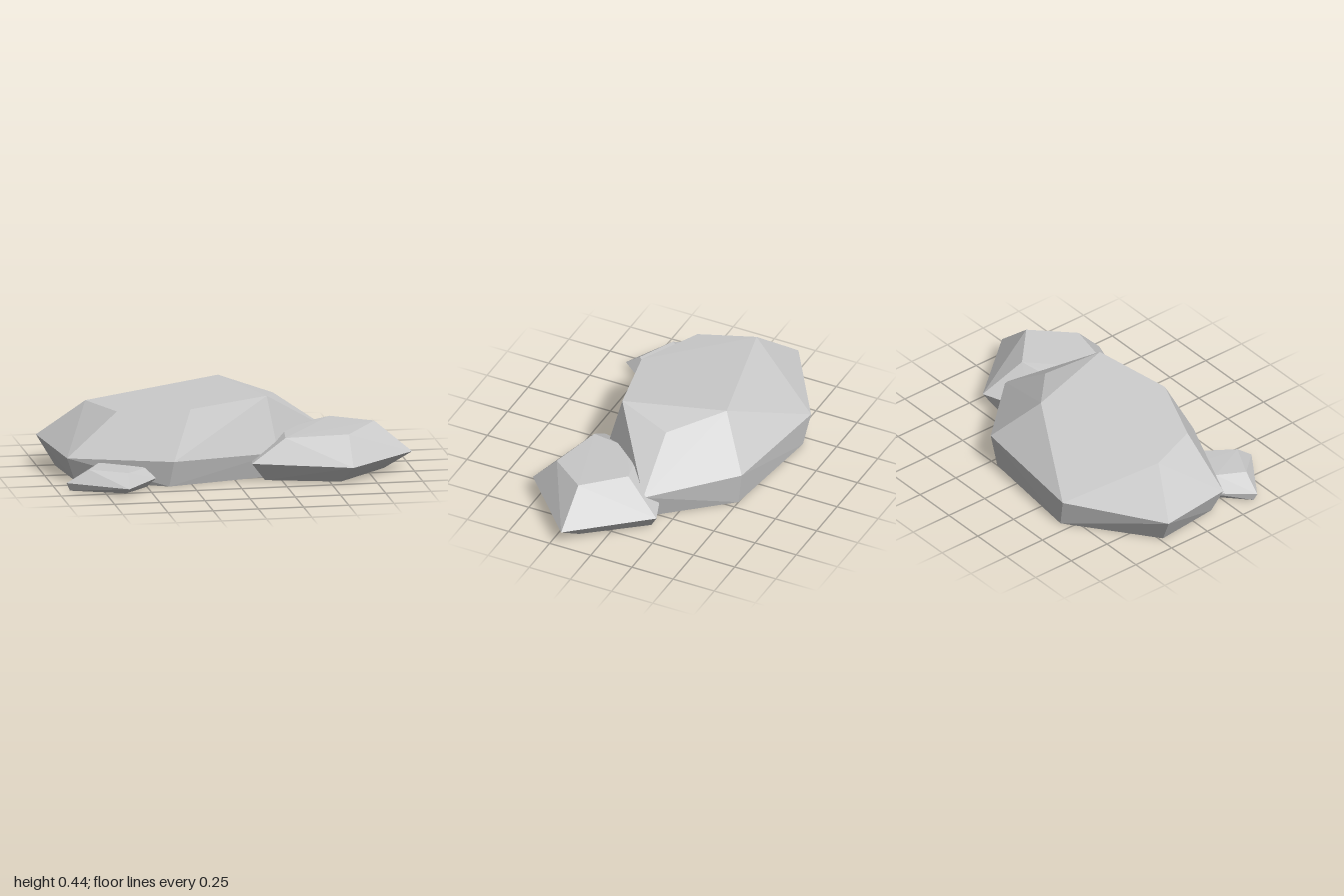
import * as THREE from 'three';
import { ConvexGeometry } from 'three/addons/geometries/ConvexGeometry.js';

// A faceted boulder: the hull around a base ring, a wider girdle ring and a top ring.
function boulder(name, material, { base, girdle, top }) {
  const points = [
    ...base.map(([x, z]) => new THREE.Vector3(x, 0, z)),
    ...[...girdle, ...top].map((p) => new THREE.Vector3(...p)),
  ];
  const mesh = new THREE.Mesh(new ConvexGeometry(points), material);
  mesh.name = name;
  return mesh;
}

export function createModel() {
  const group = new THREE.Group();
  group.name = 'rockCluster';
  const stone = new THREE.MeshStandardMaterial({ color: 0xcccccc, flatShading: true });

  // Large central rock
  group.add(boulder('largeRock', stone, {
    base: [[-0.9, -0.23], [-0.44, -0.575], [0.2, -0.5], [0.53, -0.12], [0.2, 0.24], [-0.38, 0.38], [-0.86, 0.14]],
    girdle: [
      [-1, 0.17, -0.27], [-0.49, 0.175, -0.6], [0.22, 0.2, -0.53], [0.6, 0.165, -0.12],
      [0.24, 0.14, 0.28], [-0.36, 0.145, 0.42], [-0.91, 0.135, 0.185],
    ],
    top: [
      [-0.75, 0.38, -0.14], [0.02, 0.445, -0.34], [0.28, 0.39, -0.1],
      [0.19, 0.445, 0.21], [-0.25, 0.41, 0.31], [-0.63, 0.38, 0.16],
    ],
  }));

  // Medium rock leaning on the left side
  group.add(boulder('mediumRock', stone, {
    base: [[0.85, 0.145], [0.56, 0.43], [0.16, 0.32], [0.19, 0.08], [0.38, -0.08], [0.6, -0.17]],
    girdle: [
      [1, 0.095, 0.18], [0.61, 0.1, 0.545], [0.08, 0.105, 0.37],
      [0.13, 0.1, 0.07], [0.36, 0.1, -0.12], [0.66, 0.1, -0.23],
    ],
    top: [
      [0.79, 0.275, 0.18], [0.61, 0.255, 0.4], [0.27, 0.235, 0.34],
      [0.3, 0.235, 0.12], [0.46, 0.25, 0.01], [0.58, 0.265, -0.02],
    ],
  }));

  // Small rock at the front right corner
  group.add(boulder('smallRock', stone, {
    base: [[-0.93, 0.38], [-0.64, 0.5], [-0.5, 0.36], [-0.58, 0.24], [-0.77, 0.23]],
    girdle: [
      [-0.95, 0.045, 0.39], [-0.64, 0.045, 0.6], [-0.45, 0.045, 0.36],
      [-0.55, 0.045, 0.2], [-0.78, 0.045, 0.19],
    ],
    top: [
      [-0.83, 0.12, 0.41], [-0.63, 0.115, 0.51], [-0.51, 0.105, 0.36],
      [-0.58, 0.11, 0.25], [-0.75, 0.12, 0.26],
    ],
  }));

  return group;
}
